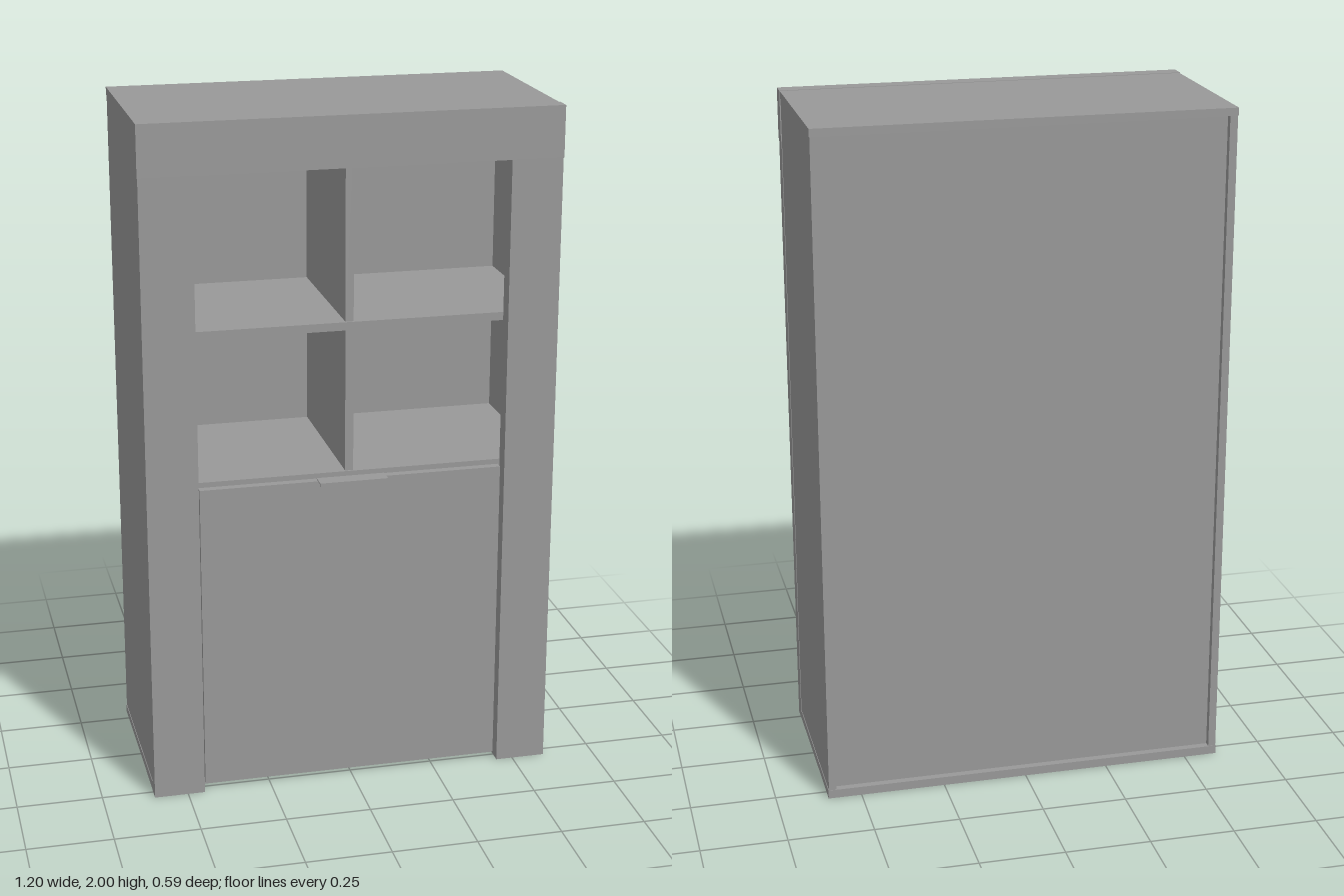
import * as THREE from 'three';

export function createModel() {
  const group = new THREE.Group();
  const material = new THREE.MeshStandardMaterial({ color: 0x999999 });

  // Box given by its limits on each axis
  const panel = (name, [x0, x1], [y0, y1], [z0, z1]) => {
    const mesh = new THREE.Mesh(new THREE.BoxGeometry(x1 - x0, y1 - y0, z1 - z0), material);
    mesh.position.set((x0 + x1) / 2, (y0 + y1) / 2, (z0 + z1) / 2);
    mesh.name = name;
    group.add(mesh);
  };

  const W = 0.599, inner = 0.575, back = -0.295, front = 0.238;
  const bottomTop = 0.028, topUnder = 1.976;
  const seam = 0.0015; // small step that shows the joints between panels

  // Carcass
  panel('topPanel', [-W, W], [topUnder, 2 - seam], [back, front]);
  panel('bottomPanel', [-W, W], [0.002, bottomTop], [back, front]);
  panel('backPanel', [-inner, inner], [bottomTop, topUnder], [-0.274, -0.268]);

  // Side panels and the wide front stiles
  for (const [side, s] of [['left', 1], ['right', -1]]) {
    const span = (a, b) => [a * s, b * s].sort((p, q) => p - q);
    panel(side + 'SidePanel', span(inner, W - seam), [bottomTop, topUnder], [back + seam, front]);
    panel(side + 'Stile', span(0.45, W), [0, 1.853], [front, 0.287 - seam]);
  }
  panel('frontHeader', [-W - seam, W + seam], [1.853, 2], [front, 0.287]);

  // Shelves, listed by the height of their upper face
  for (const [name, y] of [['upperShelf', 1.401], ['middleShelf', 0.955], ['cupboardShelf', 0.497]]) {
    panel(name, [-inner, inner], [y - 0.024, y], [-0.268, 0.234]);
  }

  // Upright dividers of the open compartments
  panel('upperDivider', [-0.012, 0.012], [1.401, topUnder], [-0.268, 0.228]);
  panel('lowerDivider', [-0.012, 0.012], [0.955, 1.377], [-0.268, 0.228]);

  // Drop-front door with a thin lipped pull on its top edge
  panel('door', [-0.444, 0.444], [0.018, 0.942], [0.24, 0.264]);
  panel('handlePlate', [-0.1, 0.1], [0.942, 0.945], [0.245, 0.292]);
  panel('handleLip', [-0.1, 0.1], [0.934, 0.945], [0.289, 0.292]);

  return group;
}
